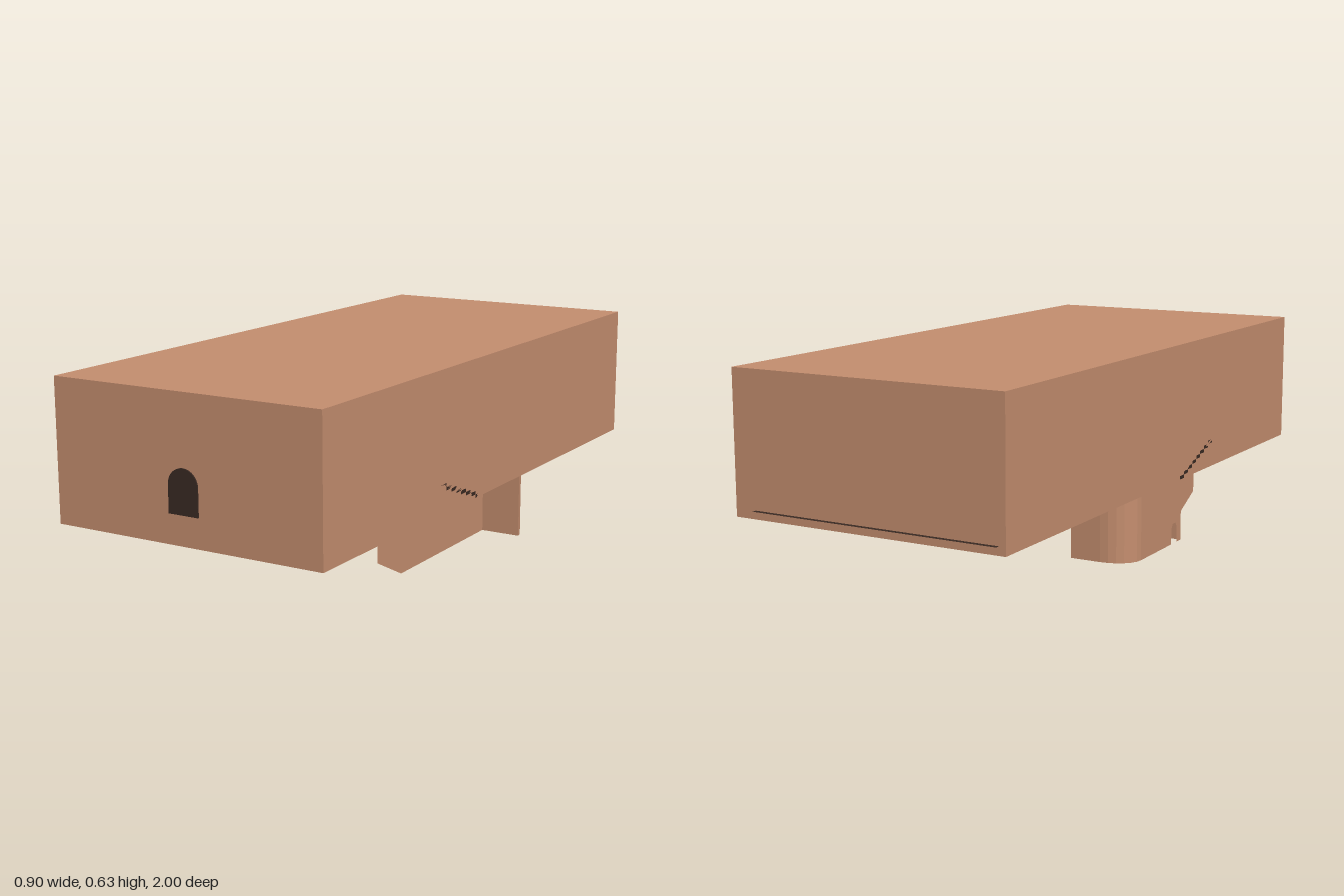
import * as THREE from 'three';

const wallMat = new THREE.MeshStandardMaterial({ color: 0xc68f70, side: THREE.DoubleSide, flatShading: true });
const darkMat = new THREE.MeshStandardMaterial({ color: 0x3a2a23, side: THREE.DoubleSide, flatShading: true });

const W = 0.45, TOP = 0.635, LOW = 0.2, HIGH = 0.29, BACK = -0.985, FRONT = 0.996;

export function createModel() {
  const model = new THREE.Group();

  const add = (name, geometry, material, parent = model) => {
    const mesh = new THREE.Mesh(geometry, material);
    mesh.name = name;
    parent.add(mesh);
    return mesh;
  };

  // Upright sheet following a plan path of [x, z] points
  const wall = (name, path, y0, y1, parent) => {
    const pos = [], index = [];
    path.forEach(([x, z], i) => {
      pos.push(x, y0, z, x, y1, z);
      if (i) {
        const a = 2 * i - 2;
        index.push(a, a + 2, a + 3, a, a + 3, a + 1);
      }
    });
    const g = new THREE.BufferGeometry();
    g.setAttribute('position', new THREE.Float32BufferAttribute(pos, 3));
    g.setIndex(index);
    const flat = g.toNonIndexed();
    flat.computeVertexNormals();
    return add(name, flat, wallMat, parent);
  };

  // Horizontal sheet
  const slab = (name, x0, x1, z0, z1, y, mat = darkMat, parent = model) => {
    const g = new THREE.PlaneGeometry(x1 - x0, z1 - z0).rotateX(-Math.PI / 2);
    g.translate((x0 + x1) / 2, y, (z0 + z1) / 2);
    return add(name, g, mat, parent);
  };

  // Sheet cut from a [z, y] outline, standing at a fixed x
  const sideSheet = (name, x, outline, parent) => {
    const s = new THREE.Shape(outline.map(([z, y]) => new THREE.Vector2(-z, y)));
    const g = new THREE.ShapeGeometry(s).rotateY(Math.PI / 2).translate(x, 0, 0);
    return add(name, g, wallMat, parent);
  };

  // Outer hall
  wall('hallWalls', [[W, FRONT], [W, BACK], [-W, BACK], [-W, FRONT]], LOW, TOP);
  slab('roof', -W, W, BACK, FRONT, TOP, wallMat);

  const arch = (path) => {
    path.moveTo(-0.05, HIGH);
    path.lineTo(0.05, HIGH);
    path.lineTo(0.05, 0.373);
    path.absarc(0, 0.373, 0.05, 0, Math.PI, false);
    path.lineTo(-0.05, HIGH);
    return path;
  };
  const facade = new THREE.Shape();
  facade.moveTo(-W, LOW).lineTo(W, LOW).lineTo(W, TOP).lineTo(-W, TOP).lineTo(-W, LOW);
  facade.holes.push(arch(new THREE.Path()));
  add('frontWall', new THREE.ShapeGeometry(facade, 16).translate(0, 0, FRONT), wallMat);
  add('archedDoor', new THREE.ExtrudeGeometry(arch(new THREE.Shape()),
    { depth: 0.008, bevelEnabled: false, curveSegments: 16 }).translate(0, 0, 0.992), darkMat);

  // Floors on two levels, and the ledge past the back wall
  slab('rearFloor', -W, W, BACK, 0.1, LOW);
  slab('middleFloor', -0.32, 0.32, 0.1, 0.45, LOW);
  slab('frontFloor', -W, W, 0.45, FRONT, HIGH);
  wall('floorRiser', [[-0.32, 0.45], [0.32, 0.45]], LOW, HIGH);
  slab('backLedge', -0.43, 0.38, -1, BACK, 0.226);

  for (const s of [1, -1]) {
    const side = new THREE.Group();
    side.name = s > 0 ? 'leftStairwell' : 'rightStairwell';
    model.add(side);

    // Rounded rear corner of the lower level
    const curve = [[s * 0.25, -0.26]];
    for (let i = 0; i <= 6; i++) {
      const a = (i / 6) * Math.PI / 2;
      curve.push([s * (0.35 + 0.1 * Math.sin(a)), -0.18 - 0.08 * Math.cos(a)]);
    }
    wall('roundedWall', curve, 0, LOW, side);

    // Inner wall with its sloped front end
    const start = s > 0 ? -0.18 : 0.11;
    sideSheet('innerWall', s * 0.32,
      [[start, 0], [0.36, 0], [0.5, 0.07], [0.5, LOW], [0.45, HIGH], [0.1 + 0.01, LOW], [start, LOW]], side);
    wall('returnWall', [[s * 0.32, start], [s * W, start]], 0, LOW, side);

    // Short flight joining the floors
    const n = 8, run = 0.25 / n, rise = (HIGH - LOW) / n;
    for (let i = 0; i < n; i++) {
      const tread = new THREE.BoxGeometry(0.13, rise, run);
      tread.translate(s * 0.385, LOW + rise * (i + 0.5), 0.1 + run * (i + 0.5));
      add('stairStep', tread, darkMat, side);
    }
    slab('landing', s > 0 ? 0.32 : -W, s > 0 ? W : -0.32, 0.35, 0.45, HIGH, darkMat, side);

    // Trench hanging below the front floor
    wall('trenchWalls', [[s * 0.32, 0.47], [s * 0.32, 0.86], [s * 0.21, 0.86],
      [s * 0.21, 0.47], [s * 0.32, 0.47]], LOW, HIGH, side);
  }

  // Long outer wall on the right with a small arched opening
  const outer = sideSheet('outerWall', -W, [[-0.18, 0], [0.04, 0], [0.04, 0.05], [0.05, 0.065],
    [0.07, 0.065], [0.08, 0.05], [0.08, 0], [0.11, 0], [0.11, LOW], [-0.18, LOW]]);
  outer.name = 'outerWall';

  return model;
}
